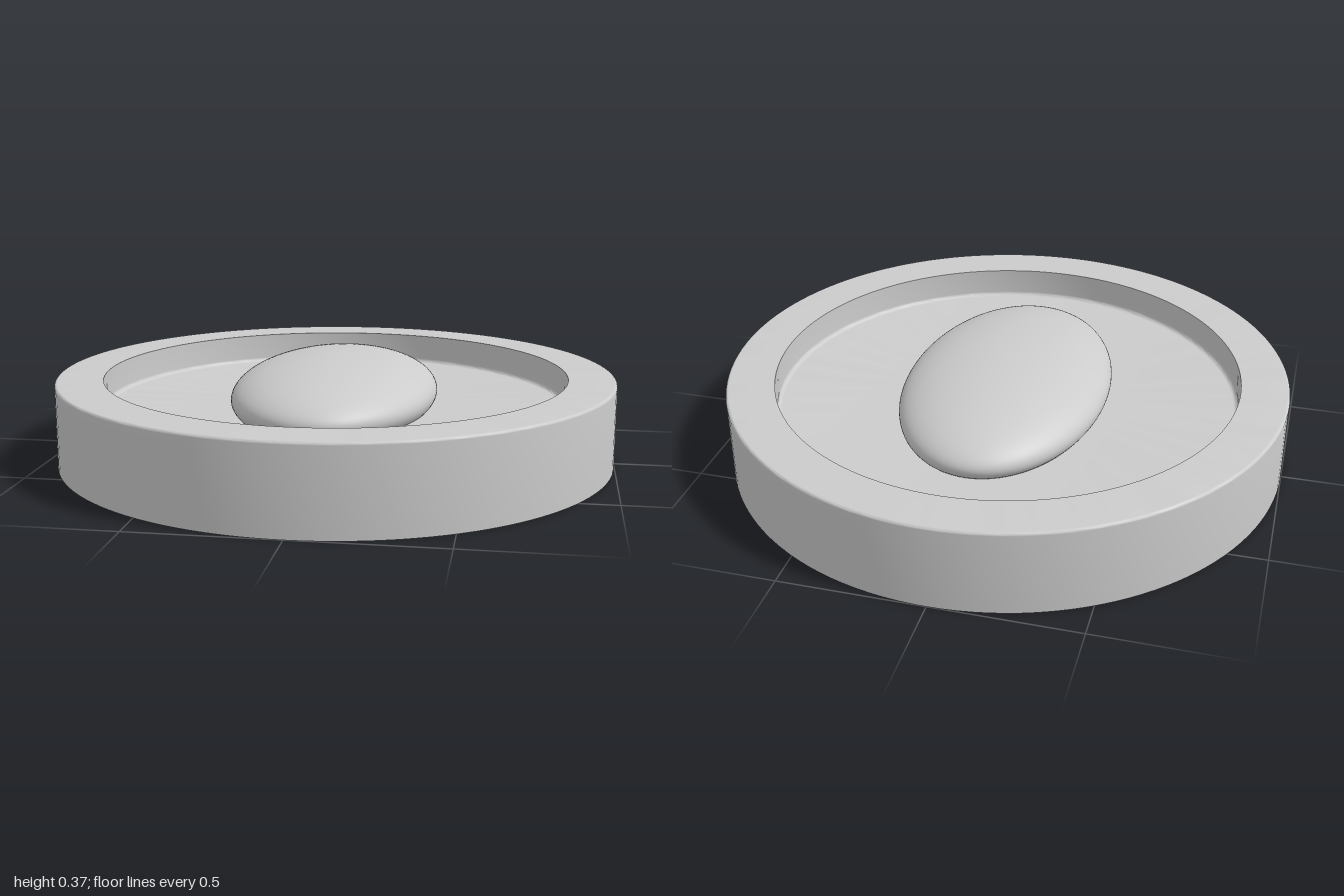
import * as THREE from 'three';
import { toCreasedNormals } from 'three/addons/utils/BufferGeometryUtils.js';

// Quarter-round corner points about (cx, cy), from angle a0 to a1 in degrees
function fillet(cx, cy, r, a0, a1, steps = 4) {
  return Array.from({ length: steps + 1 }, (_, i) => {
    const a = THREE.MathUtils.degToRad(a0 + ((a1 - a0) * i) / steps);
    return new THREE.Vector2(cx + r * Math.cos(a), cy + r * Math.sin(a));
  });
}

export function createModel() {
  const model = new THREE.Group();
  model.name = 'recessedDisc';
  const material = new THREE.MeshStandardMaterial({ color: 0xcccccc });
  const p = (x, y) => new THREE.Vector2(x, y);

  // Round dish: flat underside, straight wall, flat rim and sunken floor
  const profile = [
    p(0, 0), p(1, 0), p(1, 0.285),
    ...fillet(0.99, 0.29, 0.01, 0, 90),
    p(0.985, 0.3), p(0.83, 0.3), p(0.83, 0.21),
    ...fillet(0.815, 0.205, 0.015, 0, -90),
    p(0.81, 0.19), p(0, 0.19),
  ];
  const dish = new THREE.Mesh(
    toCreasedNormals(new THREE.LatheGeometry(profile, 128), 0.7), material);
  dish.name = 'dish';
  model.add(dish);

  // Oval dome half sunk into the floor, long axis front to back
  const dome = new THREE.Mesh(new THREE.SphereGeometry(1, 96, 48), material);
  dome.name = 'ovalDome';
  dome.scale.set(0.365, 0.137, 0.59);
  dome.position.y = 0.233;
  model.add(dome);

  return model;
}
